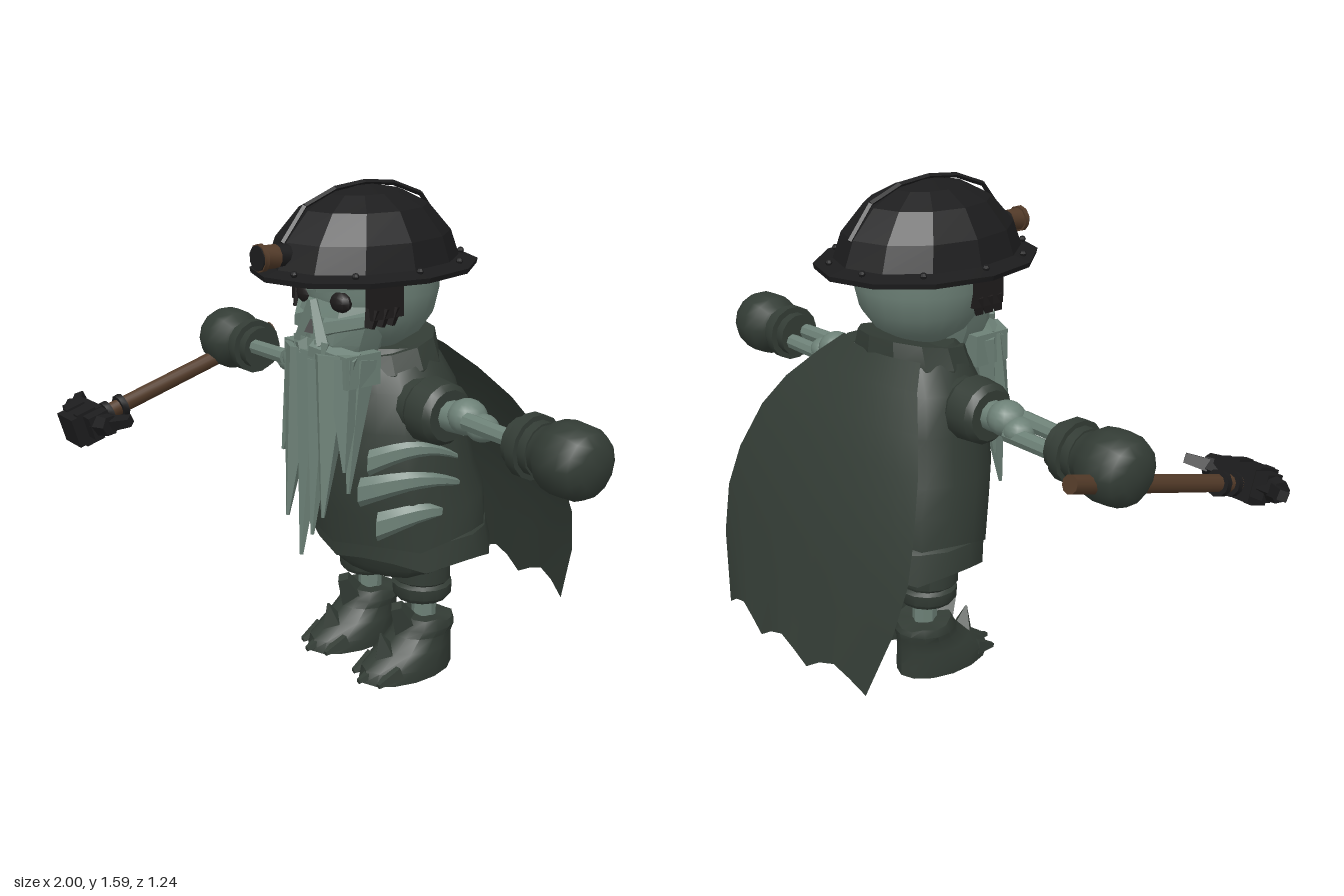
import * as THREE from 'three';
import { toCreasedNormals } from 'three/addons/utils/BufferGeometryUtils.js';

const V = (x, y, z) => new THREE.Vector3(x, y, z);
const CX = 0.05; // body axis, offset because of the carried pick

function mat(name, color, side = THREE.FrontSide) {
  const m = new THREE.MeshStandardMaterial({ color, side });
  m.name = name;
  return m;
}

// Stack of ellipses; ring = [y, zCentre, rx, rz, tilt, jag]
function loft(rings, n = 16, cx = 0) {
  const pos = [], idx = [];
  for (const [y, zc, rx, rz, tilt = 0, jag = 0] of rings)
    for (let i = 0; i < n; i++) {
      const a = i / n * Math.PI * 2, z = rz * Math.cos(a);
      pos.push(cx + rx * Math.sin(a), y + tilt * z + (i % 3 ? 0 : jag), zc + z);
    }
  for (let r = 0; r < rings.length - 1; r++)
    for (let i = 0; i < n; i++) {
      const a = r * n + i, b = r * n + (i + 1) % n;
      idx.push(a, b, b + n, a, b + n, a + n);
    }
  const last = rings.length - 1, c = pos.length / 3;
  pos.push(cx, rings[0][0], rings[0][1], cx, rings[last][0], rings[last][1]);
  for (let i = 0; i < n; i++) {
    const j = (i + 1) % n;
    idx.push(c, j, i, c + 1, last * n + i, last * n + j);
  }
  const g = new THREE.BufferGeometry();
  g.setAttribute('position', new THREE.Float32BufferAttribute(pos, 3));
  g.setIndex(idx);
  return g;
}

// Tapered cylinder from a to b
function rod(a, b, r0, r1 = r0, n = 8) {
  const d = b.clone().sub(a);
  const g = new THREE.CylinderGeometry(r1, r0, d.length(), n);
  g.applyQuaternion(new THREE.Quaternion().setFromUnitVectors(V(0, 1, 0), d.normalize()));
  const m = a.clone().add(b).multiplyScalar(0.5);
  return g.translate(m.x, m.y, m.z);
}
const box = (w, h, d, x, y, z) => new THREE.BoxGeometry(w, h, d).translate(x, y, z);
const ball = (rx, ry, rz, x, y, z, n = 14) => new THREE.SphereGeometry(1, n, n - 4).scale(rx, ry, rz).translate(x, y, z);

export function createModel() {
  const root = new THREE.Group();
  const bone = mat('bone', 0x6d8177);
  const cloth = mat('cloth', 0x333c35, THREE.DoubleSide);
  const iron = mat('iron', 0x1c1c1d);
  const wood = mat('wood', 0x523a28);
  const dark = mat('dark hair', 0x1e1b1b);
  const add = (name, geo, material, crease = 0.65) => {
    const m = new THREE.Mesh(toCreasedNormals(geo, crease), material);
    m.name = name;
    root.add(m);
    return m;
  };

  // Helmet: faceted dome, brim, ridge, bolts and lamp
  add('helmet', loft([
    [1.325, -0.005, 0.25, 0.32], [1.322, -0.005, 0.3, 0.37], [1.338, -0.005, 0.305, 0.373],
    [1.352, 0, 0.245, 0.318], [1.43, 0, 0.226, 0.288], [1.515, 0, 0.17, 0.21],
    [1.557, 0, 0.095, 0.125], [1.575, 0, 0.02, 0.03]], 12, CX), iron, 0.1);
  const ridge = [[-0.3, 1.43], [-0.22, 1.53], [-0.11, 1.572], [0, 1.583], [0.11, 1.572], [0.22, 1.53], [0.3, 1.43]];
  for (let i = 0; i < 6; i++)
    add('helmetRidge', rod(V(CX, ridge[i][1], ridge[i][0]), V(CX, ridge[i + 1][1], ridge[i + 1][0]), 0.008, 0.008, 4), iron);
  for (let i = 0; i < 10; i++) {
    const a = (i + 0.5) / 10 * Math.PI * 2;
    add('bolt', ball(0.011, 0.011, 0.011, CX + 0.265 * Math.sin(a), 1.353, 0.335 * Math.cos(a), 8), iron);
  }
  add('lamp', rod(V(CX, 1.395, 0.28), V(CX, 1.395, 0.34), 0.034, 0.034, 10), iron);
  add('lampBand', rod(V(CX, 1.395, 0.325), V(CX, 1.395, 0.375), 0.036, 0.036, 10), wood);
  add('lampRim', rod(V(CX, 1.395, 0.372), V(CX, 1.395, 0.387), 0.042, 0.042, 10), wood);
  add('lampGlass', rod(V(CX, 1.395, 0.385), V(CX, 1.395, 0.391), 0.038, 0.038, 10), iron);

  // Skull
  add('cranium', loft([
    [1.09, -0.03, 0.09, 0.08], [1.13, -0.03, 0.15, 0.15], [1.19, -0.03, 0.19, 0.195],
    [1.26, -0.03, 0.205, 0.212], [1.34, -0.03, 0.205, 0.212]], 20, CX), bone);
  add('face', loft([[1.06, 0.08, 0.11, 0.11], [1.12, 0.08, 0.14, 0.125], [1.2, 0.07, 0.165, 0.13],
    [1.25, 0.06, 0.16, 0.12], [1.34, 0.06, 0.16, 0.13]], 10, CX), bone, 0.2);
  add('noseHole', rod(V(CX, 1.15, 0.212), V(CX, 1.19, 0.2), 0.016, 0.004, 3), dark);
  for (const s of [-1, 1]) {
    const x = o => CX + s * o;
    add('noseSide', rod(V(x(0.06), 1.12, 0.2), V(x(0.006), 1.25, 0.195), 0.024, 0.014, 4), bone);
    add('eyeSocket', ball(0.042, 0.034, 0.03, x(0.085), 1.25, 0.152, 10), dark);
    add('brow', rod(V(x(0.02), 1.29, 0.185), V(x(0.16), 1.312, 0.12), 0.022, 0.02, 5), bone);
    add('cheekbone', rod(V(x(0.06), 1.175, 0.19), V(x(0.17), 1.205, 0.1), 0.03, 0.026, 5), bone);
    // Ragged side hair
    add('sideHair', box(0.03, 0.13, 0.12, x(0.188), 1.275, 0.068), dark);
    for (let i = 0; i < 3; i++)
      add('hairTuft', rod(V(x(0.186), 1.24, 0.108 - i * 0.038), V(x(0.184), 1.185, 0.122 - i * 0.038), 0.027, 0.017, 4), dark);
    add('moustache', rod(V(x(0.015), 1.105, 0.21), V(x(0.15), 1.07, 0.14), 0.028, 0.035, 5), bone);
  }
  for (let i = -2; i <= 2; i++)
    add('tooth', rod(V(CX + i * 0.035, 1.13, 0.2), V(CX + i * 0.035, 1.09, 0.21), 0.017, 0.006, 4), bone);

  // Beard: [topX, topY, topZ, tipX, tipY, tipZ, radius]
  add('jaw', box(0.32, 0.1, 0.13, CX, 1.05, 0.125), bone);
  for (const [x0, y0, z0, x1, y1, z1, r] of [
    [0.05, 1.09, 0.165, 0.055, 0.44, 0.25, 0.075], [-0.025, 1.09, 0.165, -0.04, 0.54, 0.235, 0.075],
    [0.12, 1.09, 0.165, 0.15, 0.59, 0.235, 0.075], [-0.05, 1.08, 0.15, -0.125, 0.73, 0.19, 0.068],
    [0.15, 1.08, 0.15, 0.2, 0.74, 0.19, 0.068], [0.09, 1.07, 0.175, 0.1, 0.52, 0.24, 0.06],
    [-0.07, 1.08, 0.11, -0.09, 0.68, 0.16, 0.055], [0.17, 1.08, 0.11, 0.18, 0.66, 0.16, 0.055]])
    add('beardLock', rod(V(x0, y0, z0), V(x1, y1, z1), r, 0.006, 5), bone, 0.1);

  // Torso, collar, skirt and breeches
  add('vest', loft([
    [0.51, -0.135, 0.327, 0.26, -0.15, -0.02], [0.6, -0.125, 0.317, 0.268, -0.1], [0.7, -0.1, 0.3, 0.258],
    [0.85, -0.09, 0.275, 0.235], [0.97, -0.085, 0.245, 0.205], [1.05, -0.08, 0.19, 0.17], [1.09, -0.08, 0.15, 0.14]],
    18, CX), cloth);
  add('collar', loft([[1.0, -0.07, 0.2, 0.17], [1.03, -0.07, 0.205, 0.175, -0.1], [1.095, -0.07, 0.175, 0.165, -0.2],
    [1.09, -0.07, 0.13, 0.12, -0.2]], 12, CX), cloth, 0.4);
  add('skirt', loft([[0.425, -0.155, 0.335, 0.265, 0, -0.025], [0.5, -0.145, 0.322, 0.258], [0.53, -0.14, 0.28, 0.22]],
    18, CX), cloth);
  add('breeches', loft([[0.325, -0.1, 0.15, 0.09], [0.345, -0.105, 0.21, 0.15], [0.38, -0.11, 0.255, 0.185],
    [0.46, -0.12, 0.28, 0.215]], 18, CX), cloth);

  // Bare ribs on the left side, bent round the torso
  for (const [y, a0, a1, r] of [[0.79, 0.6, 1.7, 0.042], [0.69, 0.5, 1.85, 0.048], [0.585, 0.7, 1.9, 0.048]]) {
    const g = new THREE.CylinderGeometry(0.008, r, 1, 6, 8), p = g.attributes.position;
    for (let i = 0; i < p.count; i++) {
      const t = p.getY(i) + 0.5, a = a0 + t * (a1 - a0), o = p.getX(i) * 0.5;
      p.setXYZ(i, CX + (0.3 + o) * Math.sin(a), y + p.getZ(i) - 0.03 + 0.05 * Math.sin(t * 3), -0.1 + (0.255 + o) * Math.cos(a));
    }
    add('rib', g, bone, 0.4);
  }

  // Cape: rows of [y, z at the middle, half width], torn along the hem
  const rows = [[1.08, -0.235, 0.19], [1.02, -0.3, 0.25], [0.93, -0.37, 0.335], [0.83, -0.427, 0.4],
    [0.68, -0.49, 0.453], [0.55, -0.532, 0.472], [0.4, -0.572, 0.448], [0.21, -0.617, 0.37]];
  const cape = new THREE.PlaneGeometry(1, 1, 12, rows.length - 1), cp = cape.attributes.position;
  for (let i = 0; i < cp.count; i++) {
    const r = Math.floor(i / 13), c = i % 13, u = c / 6 - 1, [y, z, h] = rows[r];
    const hem = r === rows.length - 1 ? [-0.025, 0.01, 0.035, 0.015][c % 4] : 0;
    cp.setXYZ(i, 0.025 + (1 - r / 7) * 0.025 + u * h, y + hem, z + 0.045 * u * u);
  }
  add('cape', cape, cloth, 1);

  // Arms and legs
  const AY = 0.925, AZ = -0.05;
  for (const s of [-1, 1]) {
    const P = (o, y = AY, z = AZ) => V(CX + s * o, y, z);
    const disc = (name, o0, o1, r0, r1 = r0) => add(name, rod(P(o0), P(o1), r0, r1, 14), cloth);
    disc('shoulder', 0.15, 0.25, 0.09, 0.085);
    disc('sleeve', 0.235, 0.262, 0.085, 0.1);
    disc('sleeve', 0.262, 0.335, 0.103, 0.096);
    disc('sleeve', 0.335, 0.355, 0.096, 0.08);
    add('upperArm', rod(P(0.3), P(0.43, 0.93), 0.05, 0.045, 10), bone);
    add('elbow', ball(0.06, 0.055, 0.06, CX + s * 0.425, 0.94, -0.055), bone);
    add('elbowKnob', ball(0.05, 0.042, 0.05, CX + s * 0.485, 0.92, -0.06), bone);
    add('forearm', rod(P(0.46, 0.94, -0.022), P(0.68, 0.935, -0.022), 0.028, 0.026), bone);
    add('forearm', rod(P(0.46, 0.91, -0.08), P(0.68, 0.91, -0.08), 0.028, 0.026), bone);
    disc('cuff', 0.65, 0.69, 0.075);
    disc('cuff', 0.685, 0.72, 0.095);
    disc('cuff', 0.72, 0.75, 0.08);
    const glove = new THREE.LatheGeometry([[0, 0.72], [0.07, 0.73], [0.078, 0.77], [0.102, 0.8], [0.109, 0.84],
      [0.106, 0.89], [0.092, 0.922], [0.06, 0.943], [0, 0.95]].map(p => new THREE.Vector2(...p)), 14);
    glove.rotateZ(-s * Math.PI / 2).translate(CX, AY, AZ);
    add('glove', glove, cloth, 0.8);

    // Leg with rolled cuff, shin bone and torn boot
    const x = CX + s * 0.143;
    add('trouserLeg', loft([[0.25, -0.13, 0.085, 0.085], [0.265, -0.13, 0.098, 0.095], [0.3, -0.13, 0.1, 0.098],
      [0.31, -0.13, 0.088, 0.085], [0.32, -0.125, 0.1, 0.095], [0.4, -0.12, 0.1, 0.095]], 14, x), cloth);
    add('shin', rod(V(x, 0.15, -0.14), V(x, 0.27, -0.14), 0.04, 0.04), bone);
    add('boot', loft([[0, -0.065, 0.105, 0.175], [0.04, -0.07, 0.108, 0.168], [0.09, -0.105, 0.1, 0.13],
      [0.13, -0.13, 0.092, 0.108], [0.155, -0.14, 0.1, 0.103], [0.18, -0.145, 0.092, 0.09, 0.1, 0.01]], 14, x), cloth);
    add('bootTongue', rod(V(x, 0.13, -0.08), V(x, 0.235, -0.025), 0.06, 0.025, 4), cloth, 0.1);
    add('bootSpike', rod(V(x, 0.06, 0.015), V(x, 0.155, 0.04), 0.052, 0.004, 4), cloth, 0.1);
    for (let i = -1; i <= 1; i++)
      add('toe', rod(V(x + i * 0.062, 0.035, 0.02), V(x + i * 0.066, 0.012, 0.13 - 0.03 * Math.abs(i)), 0.035, 0.01, 5), cloth, 0.1);
  }

  // Pick held in the right hand
  const H = -0.81, at = z => V(H, 0.863 - 0.285 * z, z);
  add('pickHandle', rod(at(-0.23), at(0.52), 0.028, 0.028, 10), wood);
  for (const z of [0.395, 0.45]) add('pickRing', rod(at(z), at(z + 0.02), 0.042, 0.042, 10), iron);
  const head = new THREE.Group();
  head.name = 'pickHead';
  head.position.set(H, 0.712, 0.55);
  head.rotation.x = 0.278;
  root.add(head);
  const part = (name, g) => head.add(add(name, g, iron));
  part('pickSocket', box(0.11, 0.105, 0.12, 0, 0, 0));
  part('pickBlock', box(0.2, 0.08, 0.075, 0, 0.01, -0.02));
  for (const s of [-1, 1]) {
    part('pickArm', rod(V(s * 0.08, 0.01, -0.02), V(s * 0.14, 0.01, -0.035), 0.042, 0.036, 6));
    part('pickTip', rod(V(s * 0.125, 0.01, -0.045), V(s * 0.185, 0.015, -0.09), 0.028, 0.022, 4));
    part('pickStud', box(0.03, 0.12, 0.07, s * 0.04, 0, 0));
  }
  return root;
}
